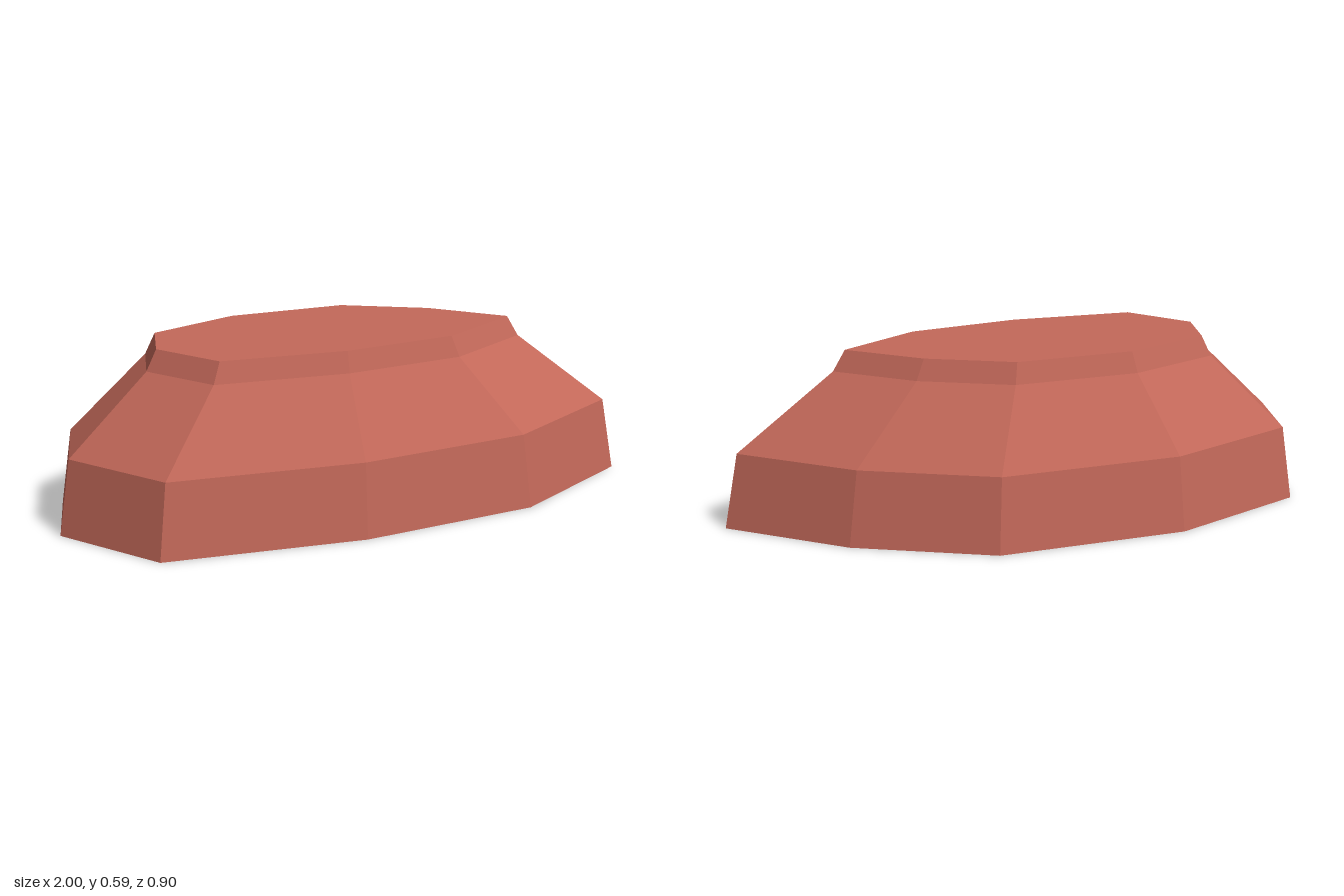
import * as THREE from 'three';

// Base outline as [x, z], counter-clockwise seen from above
const outline = [
  [-1, 0.09], [-0.75, 0.42], [-0.07, 0.452], [0.55, 0.36], [1, 0.08],
  [0.65, -0.23], [0.21, -0.453], [-0.44, -0.43], [-0.93, -0.225],
];

// Horizontal sections: height, scale of the outline, shift in x
const sections = [
  { y: 0, scale: 1, shift: 0 },
  { y: 0.257, scale: 0.957, shift: -0.004 },
  { y: 0.517, scale: 0.658, shift: -0.032 },
  { y: 0.588, scale: 0.62, shift: -0.035 },
];

const ring = ({ y, scale, shift }) =>
  outline.map(([x, z]) => [x * scale + shift, y, z * scale]);

function facetMesh(name, triangles, material) {
  const geometry = new THREE.BufferGeometry();
  geometry.setAttribute('position', new THREE.Float32BufferAttribute(triangles.flat(2), 3));
  geometry.computeVertexNormals();
  const mesh = new THREE.Mesh(geometry, material);
  mesh.name = name;
  return mesh;
}

// Band of quads joining two rings
function band(lower, upper) {
  return lower.flatMap((a, i) => {
    const j = (i + 1) % lower.length;
    return [[a, lower[j], upper[j]], [a, upper[j], upper[i]]];
  });
}

export function createModel() {
  const group = new THREE.Group();
  group.name = 'facetedShell';
  const clay = new THREE.MeshStandardMaterial({
    name: 'clay red', color: 0xc4695a, flatShading: true, side: THREE.DoubleSide,
  });

  // Side walls, open at the bottom
  const rings = sections.map(ring);
  ['baseWall', 'slopingWall', 'upperRim'].forEach((name, i) => {
    group.add(facetMesh(name, band(rings[i], rings[i + 1]), clay));
  });

  // Flat top
  const top = rings[3];
  const cap = top.slice(1, -1).map((p, i) => [top[0], p, top[i + 2]]);
  group.add(facetMesh('flatTop', cap, clay));
  return group;
}
